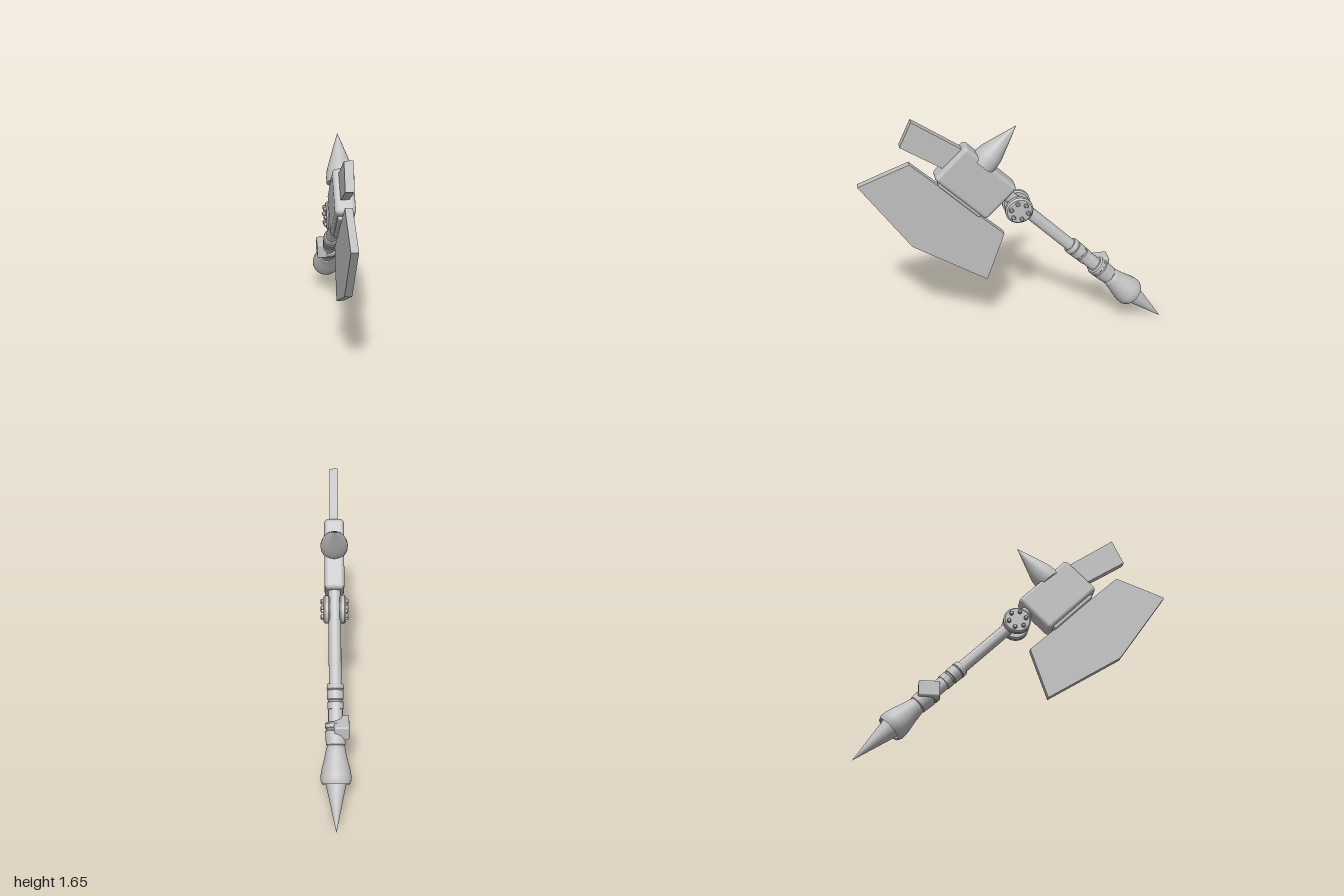
import * as THREE from 'three';
import { toCreasedNormals } from 'three/addons/utils/BufferGeometryUtils.js';
import { RoundedBoxGeometry } from 'three/addons/geometries/RoundedBoxGeometry.js';

export function createModel() {
  const steel = new THREE.MeshStandardMaterial({ color: 0xc0c0c0 });
  steel.name = 'steel grey';

  // Axe frame: y runs from the pommel tip up the handle, z points to the blade side
  const model = new THREE.Group();
  model.name = 'axe';
  const turn = new THREE.Group();
  turn.name = 'axeTurn';
  turn.position.x = 0.027;
  turn.rotation.y = 0.1067;
  model.add(turn);
  const axe = new THREE.Group();
  axe.name = 'axeTilt';
  axe.position.z = -1.0057;
  axe.rotation.x = Math.PI / 4;
  turn.add(axe);

  const add = (name, geometry, x = 0, y = 0, z = 0, parent = axe) => {
    const mesh = new THREE.Mesh(geometry, steel);
    mesh.name = name;
    mesh.position.set(x, y, z);
    parent.add(mesh);
    return mesh;
  };
  const lathe = (profile, sides = 32) => toCreasedNormals(
    new THREE.LatheGeometry(profile.map(([r, h]) => new THREE.Vector2(r, h)), sides), 0.6);
  // Slab with its outline given as [z, y], thickness along x
  const slab = (outline, thickness) => {
    const g = new THREE.ExtrudeGeometry(
      new THREE.Shape(outline.map(([z, y]) => new THREE.Vector2(z, y))),
      { depth: thickness, bevelEnabled: false });
    g.translate(0, 0, -thickness / 2);
    return g.rotateY(-Math.PI / 2);
  };

  // Pommel spike and hollow bell flowing into the grip collar
  add('pommelSpike', lathe([[0, 0], [0.066, 0.31], [0.066, 0.36], [0, 0.36]]));
  add('pommelBell', lathe([[0, 0.34], [0.07, 0.34], [0.077, 0.305], [0.086, 0.3], [0.097, 0.325],
    [0.096, 0.355], [0.088, 0.4], [0.072, 0.46], [0.062, 0.51], [0.06, 0.525],
    [0.056, 0.53], [0.056, 0.54], [0.061, 0.545], [0.066, 0.63], [0.061, 0.635], [0.061, 0.645],
    [0.067, 0.65], [0.066, 0.675], [0.058, 0.685], [0, 0.685]]));

  // Handle shaft and upper collar
  add('shaft', lathe([[0, 0.66], [0.046, 0.66], [0.046, 0.78], [0.04, 0.8], [0.04, 1.54], [0, 1.54]]));
  add('shaftCollar', lathe([[0.04, 0.765], [0.05, 0.768], [0.051, 0.81], [0.046, 0.815], [0.046, 0.825],
    [0.052, 0.83], [0.053, 0.885], [0.049, 0.89], [0.054, 0.895], [0.053, 0.92], [0.048, 0.928], [0.04, 0.93]]));

  // Upright block on the side of the grip
  add('gripBlock', new RoundedBoxGeometry(0.095, 0.105, 0.135, 2, 0.012), -0.038, 0.47, -0.555, turn);

  // Pair of hinge discs, each with a ring of six bolts
  const disc = lathe([[0, 0], [0.08, 0], [0.09, 0.01], [0.09, 0.032], [0.08, 0.042], [0, 0.042]]);
  const bolt = lathe([[0.014, 0], [0.014, 0.012], [0.009, 0.017], [0, 0.017]], 12);
  for (const side of [1, -1]) {
    const hinge = new THREE.Group();
    hinge.name = side > 0 ? 'leftHinge' : 'rightHinge';
    hinge.position.set(side * 0.03, 1.409, 0.014);
    hinge.rotation.z = -side * Math.PI / 2;
    axe.add(hinge);
    add('hingeDisc', disc, 0, 0, 0, hinge);
    for (let i = 0; i < 6; i++) {
      const a = i * Math.PI / 3 + 0.55;
      add('hingeBolt', bolt, 0.057 * Math.cos(a), 0.042, 0.057 * Math.sin(a), hinge);
    }
  }

  // Head block with the blade mount below it
  add('headBlock', new RoundedBoxGeometry(0.126, 0.455, 0.29, 2, 0.026), 0, 1.753, 0.055);
  add('bladeMount', new RoundedBoxGeometry(0.09, 0.36, 0.06, 2, 0.01), 0, 1.745, 0.19);

  // Broad angular blade
  add('blade', slab([[0.229, 2.155], [0.544, 2.296], [0.646, 1.745], [0.523, 1.19], [0.207, 1.344]], 0.046));

  // Flat bar leaving the top of the head
  add('topBar', slab([[0.012, 2.34], [0.18, 2.28], [0.095, 1.88], [-0.072, 1.88]], 0.054));

  // Rear spike
  const spike = add('rearSpike', lathe([[0, 0], [0.086, 0], [0.087, 0.03], [0.079, 0.085],
    [0.058, 0.15], [0.026, 0.245], [0, 0.32]]), 0, 1.8, -0.062);
  spike.rotation.x = -Math.PI / 2 + 0.05;

  return model;
}
